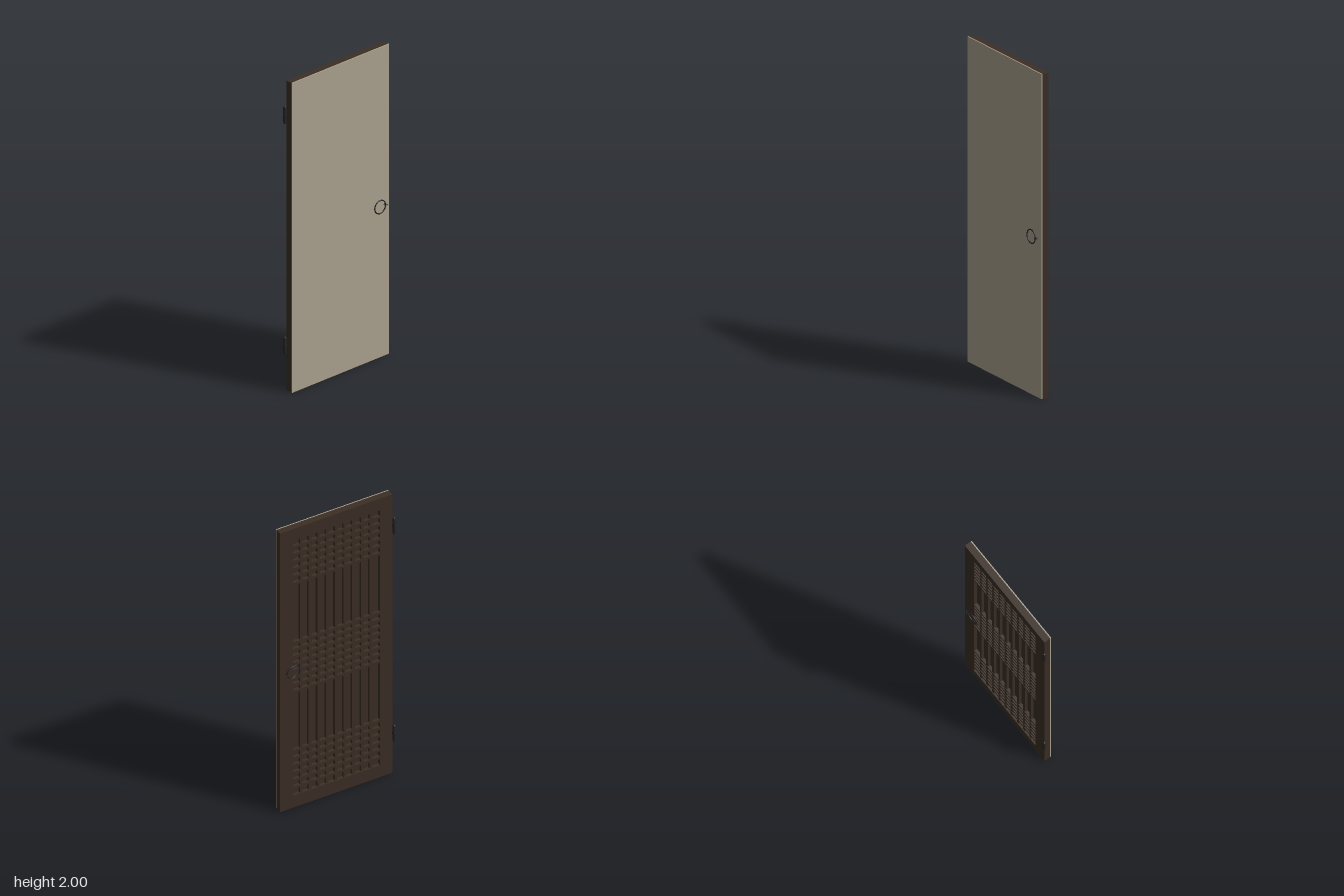
import * as THREE from 'three';

const wood = new THREE.MeshStandardMaterial({ color: 0x3b2e25 });
wood.name = 'dark wood';
const paper = new THREE.MeshStandardMaterial({ color: 0xaba28f });
paper.name = 'beige panel';
const iron = new THREE.MeshStandardMaterial({ color: 0x242527 });
iron.name = 'black iron';

// Door extents: x is thickness, z is width
const X0 = -0.027, XP = 0.015, X1 = 0.022;
const Z0 = -0.385, Z1 = 0.365;
// Opening of the latticed side
const OZ0 = -0.3, OZ1 = 0.283, OY0 = 0.085, OY1 = 1.915;

// Box given by its limits on each axis
function box(name, material, x0, x1, y0, y1, z0, z1) {
  const mesh = new THREE.Mesh(new THREE.BoxGeometry(x1 - x0, y1 - y0, z1 - z0), material);
  mesh.position.set((x0 + x1) / 2, (y0 + y1) / 2, (z0 + z1) / 2);
  mesh.name = name;
  return mesh;
}

// Ring pull hung from a looped wire staple; side is +1 or -1
function ringPull(side) {
  const group = new THREE.Group();
  group.name = side > 0 ? 'leftRingPull' : 'rightRingPull';
  const ring = new THREE.Mesh(new THREE.TorusGeometry(0.0415, 0.0035, 10, 40), iron);
  ring.rotation.y = Math.PI / 2;
  ring.position.set(side * 0.037, 0.98, -0.302);
  ring.name = 'ring';
  group.add(ring);

  // Wire leaves the door, loops round the ring and returns
  const points = [[0.016, -0.345], [0.024, -0.344], [0.032, -0.341], [0.039, -0.340],
    [0.045, -0.344], [0.046, -0.350], [0.040, -0.355], [0.032, -0.354], [0.024, -0.350], [0.016, -0.349]];
  const path = new THREE.CatmullRomCurve3(points.map(([x, z]) => new THREE.Vector3(side * x, 0.98, z)));
  const staple = new THREE.Mesh(new THREE.TubeGeometry(path, 40, 0.0022, 8), iron);
  staple.name = 'staple';
  group.add(staple);
  return group;
}

// Hinge barrel with rounded ends and a small central collar
function hinge(name, y) {
  const profile = [[0, -0.058], [0.005, -0.057], [0.008, -0.053], [0.0095, -0.046], [0.0095, -0.005],
    [0.0115, -0.004], [0.0115, 0.004], [0.0095, 0.005], [0.0095, 0.046], [0.008, 0.053], [0.005, 0.057], [0, 0.058]];
  const mesh = new THREE.Mesh(
    new THREE.LatheGeometry(profile.map(([r, h]) => new THREE.Vector2(r, h)), 20), iron);
  mesh.position.set(-0.034, y, 0.372);
  mesh.name = name;
  return mesh;
}

export function createModel() {
  const door = new THREE.Group();
  door.name = 'latticeDoor';

  // Smooth panel on one face
  door.add(box('facePanel', paper, XP, X1, 0, 2, Z0, Z1));

  // Wooden frame and the board behind the lattice
  door.add(
    box('latchStile', wood, X0, XP, 0, 2, Z0, OZ0),
    box('hingeStile', wood, X0, XP, 0, 2, OZ1, Z1),
    box('bottomRail', wood, X0, XP, 0, OY0, OZ0, OZ1),
    box('topRail', wood, X0, XP, OY1, 2, OZ0, OZ1),
    box('backBoard', wood, -0.004, XP, OY0, OY1, OZ0, OZ1));

  // Upright lattice bars over the full height
  const lattice = new THREE.Group();
  lattice.name = 'lattice';
  const columns = 10, half = 0.009;
  for (let i = 1; i < columns; i++) {
    const z = OZ0 + (OZ1 - OZ0) * i / columns;
    lattice.add(box('uprightBar', wood, -0.022, -0.004, OY0, OY1, z - half, z + half));
  }

  // Cross bars in three bands: lowest bar, highest bar, count
  for (const [low, high, count] of [[0.137, 0.4, 6], [0.825, 1.175, 8], [1.6, 1.863, 6]]) {
    for (let i = 0; i < count; i++) {
      const y = low + (high - low) * i / (count - 1);
      lattice.add(box('crossBar', wood, -0.024, -0.004, y - half, y + half, OZ0, OZ1));
    }
  }
  door.add(lattice);

  // Ironwork
  door.add(ringPull(1), ringPull(-1));
  door.add(hinge('upperHinge', 1.778), hinge('lowerHinge', 0.288));
  return door;
}
